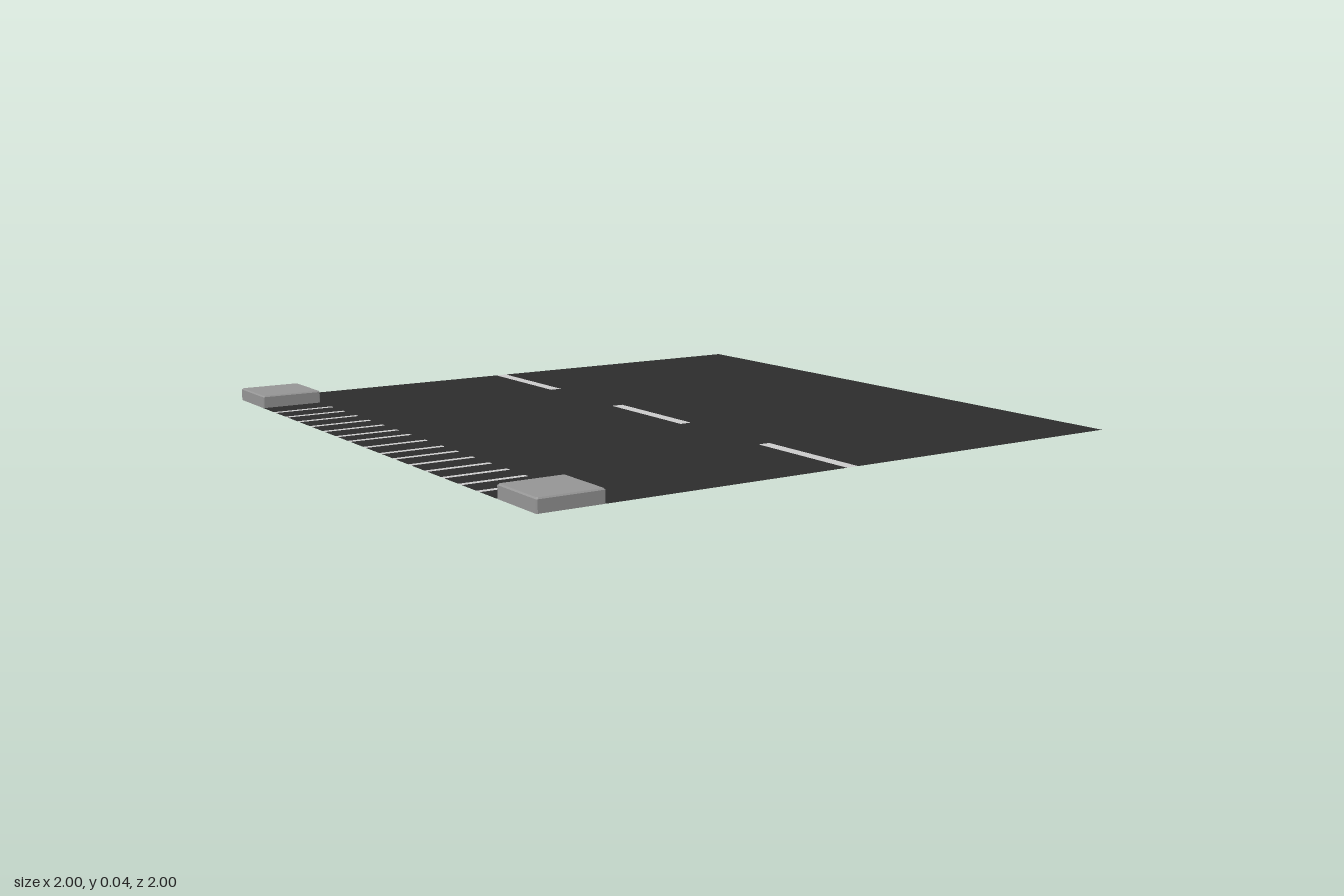
import * as THREE from 'three';

const paint = (color) => new THREE.MeshStandardMaterial({ color, side: THREE.DoubleSide, flatShading: true });

export function createModel() {
  const road = new THREE.Group();
  road.name = 'roadTile';
  const asphalt = paint(0x2c2c2c);
  const white = paint(0xcccccc);
  const concrete = paint(0x959595);

  // flat rectangle on the ground, given by its edges
  function patch(name, material, x0, x1, z0, z1) {
    const geometry = new THREE.PlaneGeometry(x1 - x0, z1 - z0).rotateX(-Math.PI / 2);
    const mesh = new THREE.Mesh(geometry, material);
    mesh.position.set((x0 + x1) / 2, 0, (z0 + z1) / 2);
    mesh.name = name;
    road.add(mesh);
  }

  // a column of asphalt from z0 to z1 with painted stripes let into it
  function stripedColumn(name, x0, x1, z0, z1, stripes) {
    let z = z0;
    for (const [a, b] of stripes) {
      if (a > z) patch('asphalt', asphalt, x0, x1, z, a);
      patch(name, white, x0, x1, a, b);
      z = b;
    }
    if (z < z1) patch('asphalt', asphalt, x0, x1, z, z1);
  }

  // crossing stripes along the right edge
  const crossing = [];
  for (let i = -7; i <= 7; i++) {
    const z = Math.abs(i) === 1 ? i * 0.11 : i * 0.1;
    crossing.push([z - 0.01, z + 0.01]);
  }
  stripedColumn('crossingStripe', -1, -0.8, -0.8, 0.8, crossing);

  // the two lanes and the dashed centre line
  patch('rightLane', asphalt, -0.8, -0.02, -1, 1);
  patch('leftLane', asphalt, 0.02, 1, -1, 1);
  stripedColumn('centreDash', -0.02, 0.02, -1, 1, [[-1, -0.6], [-0.2, 0.2], [0.6, 1]]);

  // kerb block: open below, with narrow bevels on the upright and top edges
  const rings = [[0, 0.1], [0.036, 0.1], [0.04, 0.096]].map(([y, r]) => {
    const c = r - 0.004;
    return [[r, -c], [r, c], [c, r], [-c, r], [-r, c], [-r, -c], [-c, -r], [c, -r]]
      .map(([x, z]) => [x, y, z]);
  });
  const points = [];
  for (let k = 0; k < 8; k++) {
    const n = (k + 1) % 8;
    for (let r = 0; r < 2; r++) {
      const a = rings[r][k], b = rings[r][n], c = rings[r + 1][n], d = rings[r + 1][k];
      points.push(...a, ...c, ...b, ...a, ...d, ...c);
    }
    points.push(0, 0.04, 0, ...rings[2][n], ...rings[2][k]);
  }
  const block = new THREE.BufferGeometry();
  block.setAttribute('position', new THREE.Float32BufferAttribute(points, 3));
  block.computeVertexNormals();

  for (const [name, z] of [['frontKerb', 0.9], ['backKerb', -0.9]]) {
    const kerb = new THREE.Mesh(block, concrete);
    kerb.name = name;
    kerb.position.set(-0.9, 0, z);
    road.add(kerb);
  }
  return road;
}
